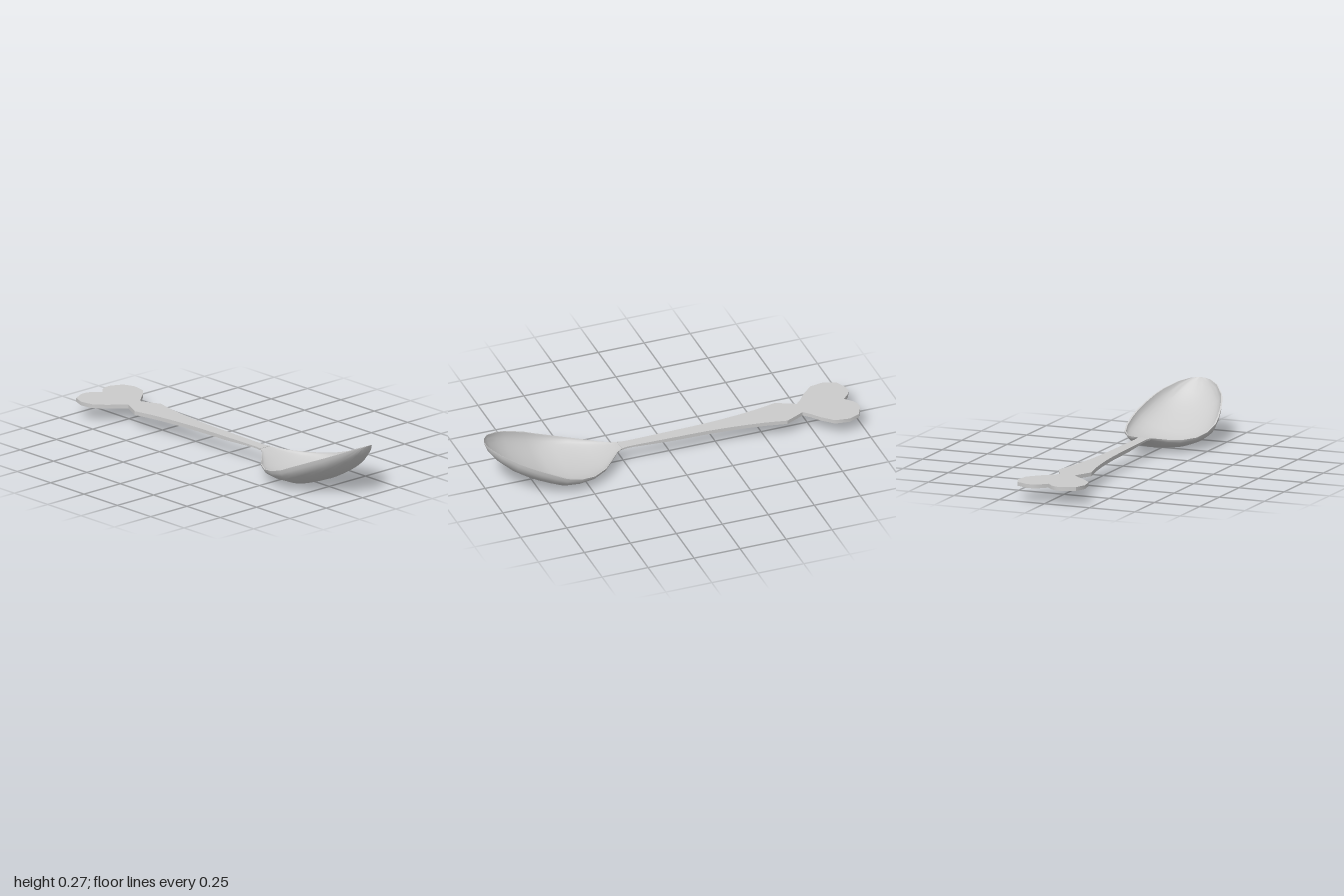
import * as THREE from 'three';
import { toCreasedNormals } from 'three/addons/utils/BufferGeometryUtils.js';

const material = new THREE.MeshStandardMaterial({ color: 0xcccccc, side: THREE.DoubleSide });

// Bowl stations: x, half width, rim height, underside height
const STATIONS = [
  [0.24, 0.027, 0.095, 0.084],
  [0.27, 0.034, 0.094, 0.08],
  [0.3, 0.05, 0.09, 0.068],
  [0.35, 0.1, 0.078, 0.042],
  [0.4, 0.15, 0.071, 0.021],
  [0.48, 0.2, 0.073, 0.007],
  [0.56, 0.226, 0.088, 0.002],
  [0.64, 0.234, 0.113, 0.002],
  [0.7, 0.227, 0.14, 0.023],
  [0.77, 0.21, 0.17, 0.052],
  [0.83, 0.19, 0.196, 0.084],
  [0.88, 0.166, 0.217, 0.115],
  [0.95, 0.11, 0.248, 0.176],
  [0.985, 0.058, 0.263, 0.222],
  [0.998, 0.02, 0.268, 0.252],
  [1, 0, 0.268, 0.266],
];

// Each section runs along the outer half ellipse, then back along the inner one
function bowlGeometry() {
  const arc = 18, ring = 2 * (arc + 1);
  const position = [], index = [];
  for (const [x, width, rim, base] of STATIONS) {
    const depth = rim - base;
    for (let j = 0; j < ring; j++) {
      const inner = j > arc;
      const angle = Math.PI * (inner ? ring - 1 - j : j) / arc;
      const w = inner ? width * 0.96 : width;
      const d = inner ? Math.max(0, depth - 0.018) : depth;
      position.push(x, rim - d * Math.sin(angle), w * Math.cos(angle));
    }
  }
  for (let i = 0; i < STATIONS.length - 1; i++) {
    for (let j = 0; j < ring; j++) {
      const a = i * ring + j, b = i * ring + (j + 1) % ring;
      index.push(a, b, a + ring, b, b + ring, a + ring);
    }
  }
  const geometry = new THREE.BufferGeometry();
  geometry.setAttribute('position', new THREE.Float32BufferAttribute(position, 3));
  geometry.setIndex(index);
  return toCreasedNormals(geometry, 0.9);
}

// Flat plate mirrored about z = 0 from one side of its outline
function plateGeometry(half) {
  const mirrored = half.filter(([, z]) => z > 0).reverse().map(([x, z]) => [x, -z]);
  const outline = [...half, ...mirrored].map(([x, z]) => new THREE.Vector2(x, z));
  const geometry = new THREE.ExtrudeGeometry(new THREE.Shape(outline), {
    depth: 0.02, bevelEnabled: false,
  });
  geometry.rotateX(-Math.PI / 2).translate(0, 0.076, 0);
  // Thin the underside toward the bowl
  const p = geometry.attributes.position;
  for (let i = 0; i < p.count; i++) {
    if (p.getY(i) < 0.085) p.setY(i, 0.076 + 0.011 * THREE.MathUtils.smoothstep(p.getX(i), -0.05, 0.27));
  }
  return toCreasedNormals(geometry, 0.6);
}

export function createModel() {
  const spoon = new THREE.Group();
  spoon.name = 'spoon';
  const add = (name, geometry) => {
    const mesh = new THREE.Mesh(geometry, material);
    mesh.name = name;
    spoon.add(mesh);
  };

  add('bowl', bowlGeometry());

  // Stem flaring to a pointed shoulder
  add('handle', plateGeometry([
    [-0.71, 0.042], [-0.61, 0.09], [-0.5, 0.067], [-0.4, 0.053], [-0.3, 0.043], [-0.2, 0.036],
    [-0.1, 0.033], [0, 0.031], [0.1, 0.029], [0.2, 0.027], [0.24, 0.028], [0.27, 0.034],
  ]));

  // Heart-shaped finial
  add('heartEnd', plateGeometry([
    [-0.95, 0], [-0.985, 0.035], [-1, 0.065], [-1, 0.1], [-0.97, 0.162], [-0.91, 0.185],
    [-0.835, 0.173], [-0.78, 0.122], [-0.74, 0.072], [-0.71, 0.042],
  ]));

  return spoon;
}
